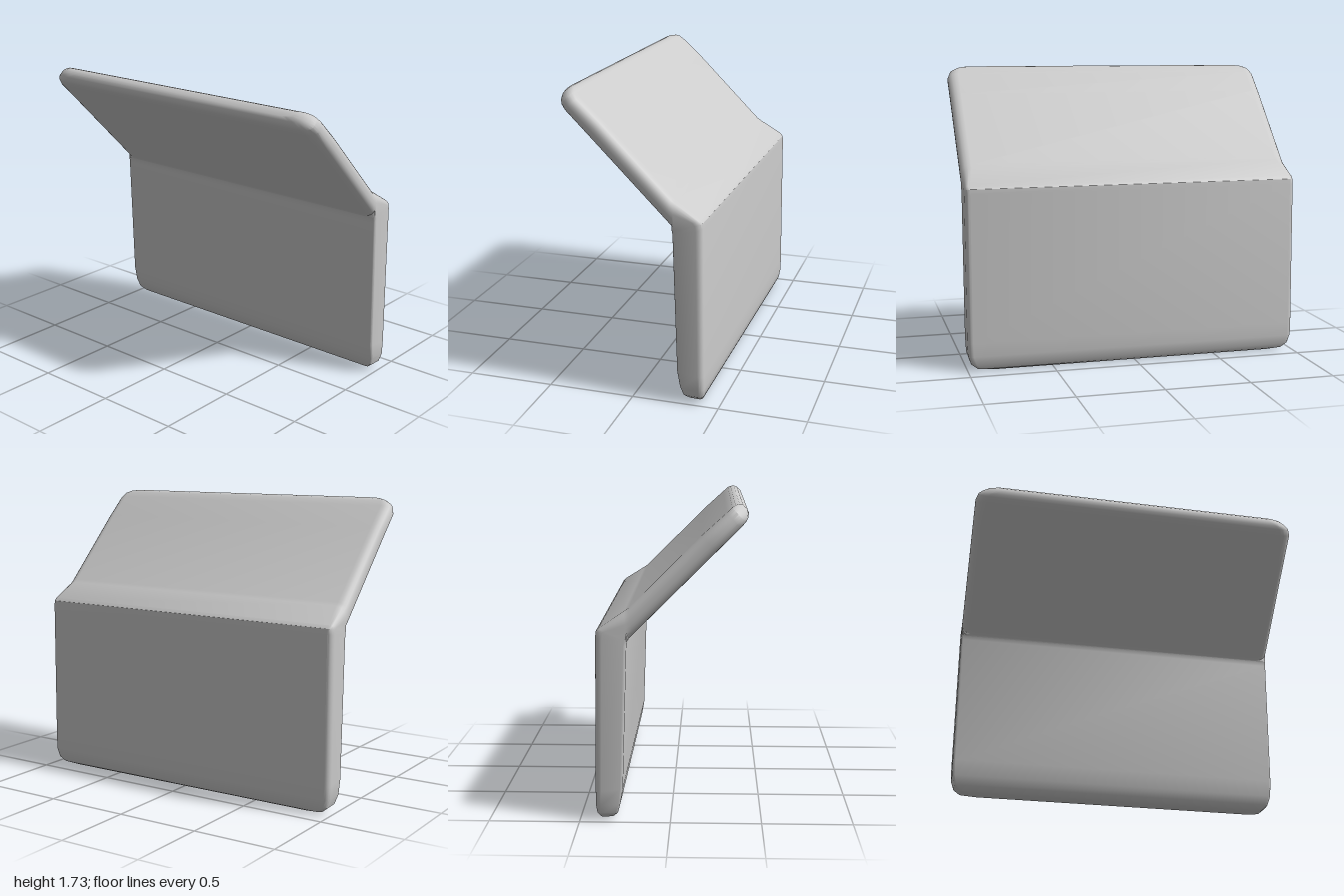
import * as THREE from 'three';
import { toCreasedNormals } from 'three/addons/utils/BufferGeometryUtils.js';

// Edge rounding: [front inset, front depth, back inset, back depth] (depths as share of thickness)
const PANEL = [0.015, 0.1, 0.03, 0.22];
const CANOPY = [0.07, 0.42, 0.06, 0.42];

// Stations along the bent slab: front z, front y, back z, back y, half width, edge
const STATIONS = [
  // rounded foot
  [-0.345, 0.002, -0.37, 0, 0.86, PANEL],
  [-0.315, 0.015, -0.392, 0.012, 0.945, PANEL],
  [-0.29, 0.045, -0.405, 0.04, 0.98, PANEL],
  [-0.275, 0.1, -0.411, 0.09, 0.997, PANEL],
  [-0.26, 0.19, -0.411, 0.17, 1, PANEL],
  // upright panel up to the bend
  [-0.235, 0.98, -0.403, 1.03, 1, PANEL],
  [-0.232, 1.005, -0.4, 1.06, 1, PANEL],
  [-0.23, 1.01, -0.385, 1.078, 1, PANEL],
  // sloping canopy
  [-0.225, 1.015, -0.25, 1.165, 1, CANOPY],
  [-0.2, 1.04, -0.225, 1.182, 1, CANOPY],
  [0.25, 1.49, 0.165, 1.572, 1, CANOPY],
  // rounded lip
  [0.375, 1.615, 0.295, 1.69, 1, CANOPY],
  [0.4, 1.643, 0.325, 1.718, 0.985, CANOPY],
  [0.411, 1.66, 0.342, 1.728, 0.96, CANOPY],
  [0.415, 1.685, 0.365, 1.732, 0.92, CANOPY],
  [0.408, 1.705, 0.385, 1.726, 0.87, CANOPY],
];

// One closed cross-section, front edge first, then +x side, back and -x side
function ring([fz, fy, bz, by, hw, [fi, fd, bi, bd]]) {
  const side = [];
  const steps = 5;
  for (let i = 0; i <= steps; i++) {
    const a = (i / steps) * Math.PI / 2;
    side.push([hw - fi * (1 - Math.sin(a)), fd * (1 - Math.cos(a))]);
  }
  for (let i = 0; i <= steps; i++) {
    const a = (i / steps) * Math.PI / 2;
    side.push([hw - bi * (1 - Math.cos(a)), 1 - bd * (1 - Math.sin(a))]);
  }
  const mirrored = side.map(([x, t]) => [-x, t]).reverse();
  return [...side, ...mirrored].map(([x, t]) => [x, fy + (by - fy) * t, fz + (bz - fz) * t]);
}

function loft(rings) {
  const n = rings[0].length;
  const index = [];
  for (let s = 0; s < rings.length - 1; s++) {
    for (let i = 0; i < n; i++) {
      const a = s * n + i, b = s * n + (i + 1) % n;
      index.push(a, b, b + n, a, b + n, a + n);
    }
  }
  // end caps
  const last = (rings.length - 1) * n;
  for (let i = 1; i < n - 1; i++) {
    index.push(0, i + 1, i, last, last + i, last + i + 1);
  }
  const geometry = new THREE.BufferGeometry();
  geometry.setAttribute('position', new THREE.Float32BufferAttribute(rings.flat(2), 3));
  geometry.setIndex(index);
  return toCreasedNormals(geometry, 0.55);
}

export function createModel() {
  const group = new THREE.Group();
  group.name = 'bentPanel';
  const material = new THREE.MeshStandardMaterial({ color: 0xcccccc });
  const mesh = new THREE.Mesh(loft(STATIONS.map(ring)), material);
  mesh.name = 'panelWithCanopy';
  group.add(mesh);
  return group;
}
